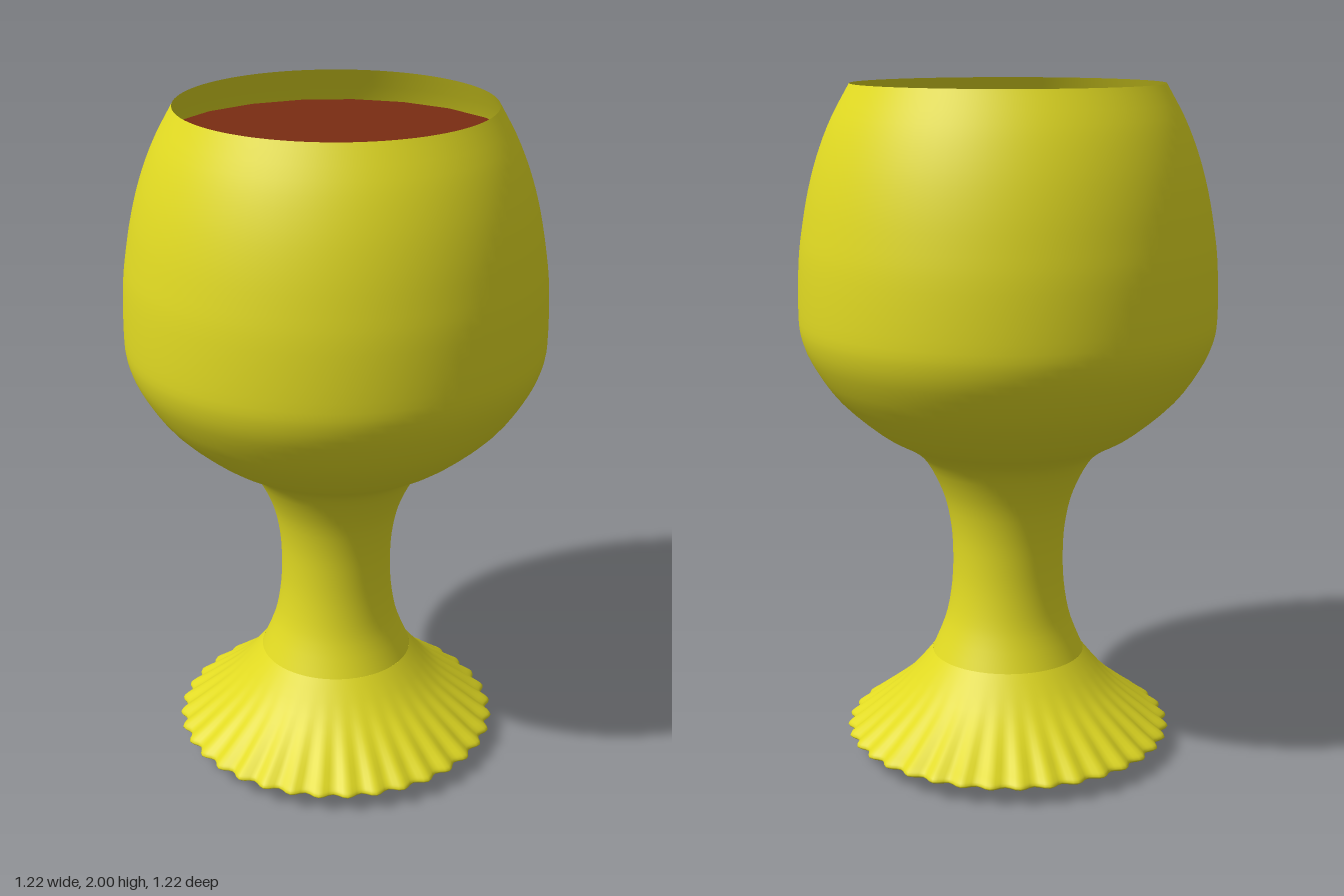
import * as THREE from 'three';
import { mergeVertices } from 'three/addons/utils/BufferGeometryUtils.js';

const FLUTES = 36;

// Lathe a profile, then ripple the radius near the foot's edge
function flutedLathe(points, segments) {
  let geo = new THREE.LatheGeometry(points, segments);
  const p = geo.attributes.position;
  for (let i = 0; i < p.count; i++) {
    const x = p.getX(i), y = p.getY(i), z = p.getZ(i);
    const r = Math.hypot(x, z);
    if (y > 0.3 || r < 0.2) continue;
    const fade = THREE.MathUtils.smoothstep(r, 0.26, 0.48);
    const k = 1 + 0.02 * fade * (Math.cos(FLUTES * Math.atan2(x, z)) - 0.5);
    p.setX(i, x * k);
    p.setZ(i, z * k);
  }
  // Weld the seam so the normals are smooth all round
  geo.deleteAttribute('uv');
  geo.deleteAttribute('normal');
  geo = mergeVertices(geo, 1e-5);
  geo.computeVertexNormals();
  return geo;
}

const spline = (pts, n) =>
  new THREE.SplineCurve(pts.map(([x, y]) => new THREE.Vector2(x, y))).getPoints(n);

export function createModel() {
  const model = new THREE.Group();
  model.name = 'goblet';

  const yellow = new THREE.MeshStandardMaterial({ color: 0xe0d922, side: THREE.DoubleSide });
  const red = new THREE.MeshStandardMaterial({ color: 0x7a2c12, side: THREE.DoubleSide });

  // Foot: slightly domed underside and thin scalloped edge
  const foot = spline([
    [0, 0], [0.2, 0.012], [0.36, 0.028], [0.45, 0.042], [0.485, 0.053], [0.488, 0.062],
    [0.475, 0.075], [0.43, 0.108], [0.315, 0.2], [0.23, 0.3],
  ], 30);
  const footMesh = new THREE.Mesh(flutedLathe(foot, FLUTES * 6), yellow);
  footMesh.name = 'foot';

  // Stem flowing into the open, thin-walled bowl
  const body = spline([
    [0.23, 0.3], [0.19, 0.4], [0.171, 0.5], [0.166, 0.6], [0.172, 0.7], [0.195, 0.8],
    [0.245, 0.9], [0.3, 0.95], [0.386, 1.0], [0.5, 1.1], [0.57, 1.2], [0.603, 1.28],
    [0.61, 1.36], [0.605, 1.5], [0.592, 1.6], [0.573, 1.7], [0.545, 1.8], [0.505, 1.9],
    [0.45, 2],
  ], 60);
  const bodyMesh = new THREE.Mesh(flutedLathe(body, 96), yellow);
  bodyMesh.name = 'stemAndBowl';

  // Drink surface just below the rim
  const drink = new THREE.Mesh(new THREE.CircleGeometry(0.503, 20), red);
  drink.name = 'drink';
  drink.rotation.x = -Math.PI / 2;
  drink.position.y = 1.9;

  model.add(footMesh, bodyMesh, drink);
  return model;
}
